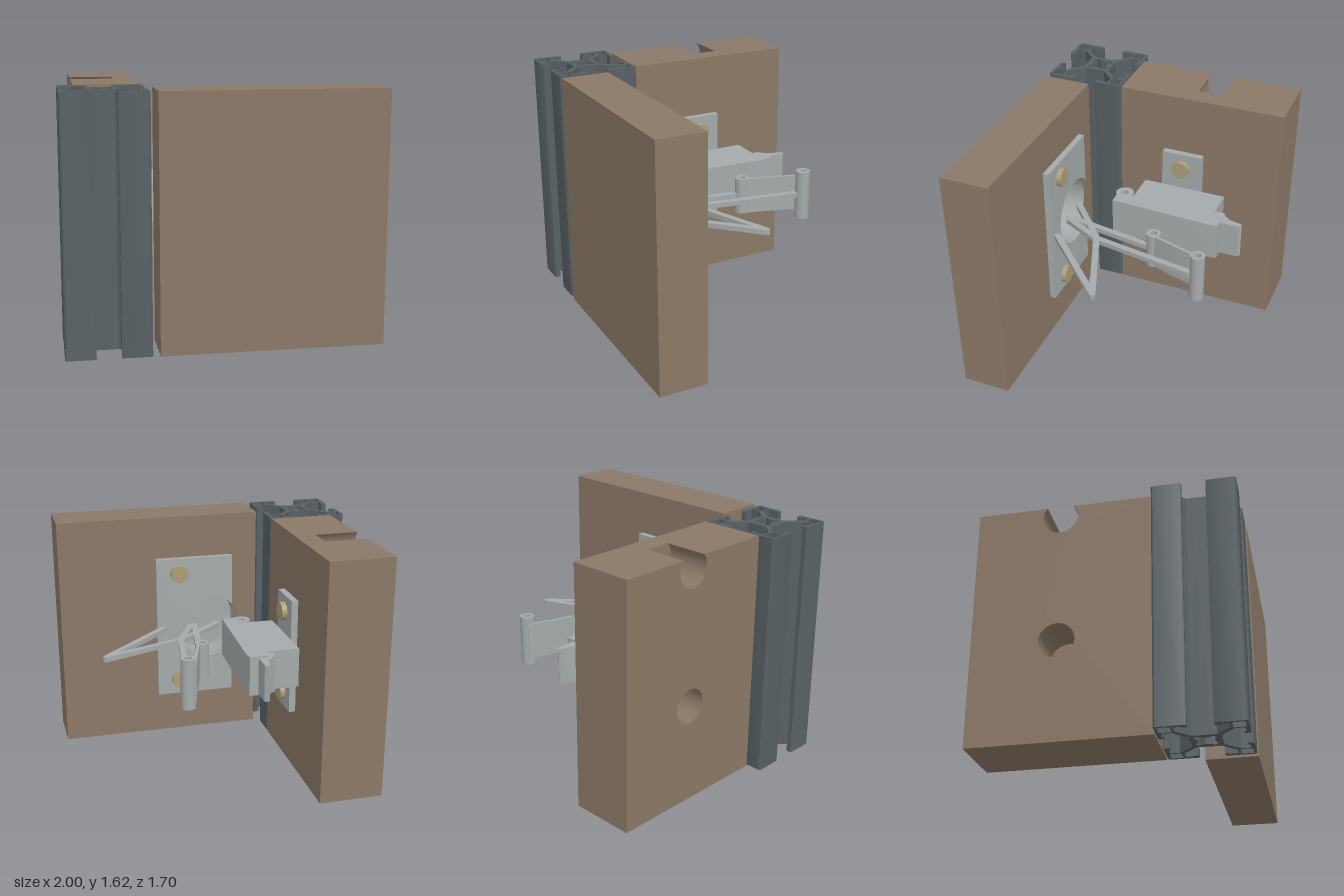
import * as THREE from 'three';
import { toCreasedNormals } from 'three/addons/utils/BufferGeometryUtils.js';

export function createModel() {
  const model = new THREE.Group();
  const mat = (name, color) => Object.assign(new THREE.MeshStandardMaterial({ color }), { name });
  const wood = mat('wood', 0x8b7866);
  const steel = mat('steel', 0xa4aaab);
  const dark = mat('dark metal', 0x586164);
  const brass = mat('brass', 0xab9e78);
  steel.side = THREE.DoubleSide;

  const H = 1.62, MID = 0.8125;
  const add = (name, geo, material) => {
    const mesh = new THREE.Mesh(geo, material);
    mesh.name = name;
    model.add(mesh);
    return mesh;
  };
  const box = (name, m, x0, x1, y0, y1, z0, z1) =>
    add(name, new THREE.BoxGeometry(x1 - x0, y1 - y0, z1 - z0)
      .translate((x0 + x1) / 2, (y0 + y1) / 2, (z0 + z1) / 2), m);
  const extrude = (shape, depth) => toCreasedNormals(
    new THREE.ExtrudeGeometry(shape, { depth, bevelEnabled: false, curveSegments: 32 }), 0.6);
  const poly = pts => new THREE.Shape(pts.map(([x, y]) => new THREE.Vector2(x, y)));
  const circle = (x, y, r) => new THREE.Path().absarc(x, y, r, 0, Math.PI * 2, false);
  // upright prism from a plan outline
  const upright = (name, m, shape, y0, y1) =>
    add(name, extrude(shape, y1 - y0).rotateX(-Math.PI / 2).translate(0, y0, 0), m);
  const plan = pts => poly(pts.map(([x, z]) => [x, -z]));

  // Door panel, bored for the hinge cup
  const cup = { x: -0.05, y: MID, r: 0.235, depth: 0.17 };
  const doorFace = poly([[-0.42, 0], [1, 0], [1, H], [-0.42, H]]);
  doorFace.holes.push(circle(cup.x, cup.y, cup.r));
  add('doorInner', extrude(doorFace, cup.depth).translate(0, 0, 0.52), wood);
  box('doorOuter', wood, -0.42, 1, 0, H, 0.52 + cup.depth, 0.845);

  // Side panel with two blind bores, the upper one breaking through the top
  const bore = { u: 0.303, r: 0.115, y: 1.545 };
  const a = Math.asin((H - bore.y) / bore.r);
  const side = new THREE.Shape();
  side.moveTo(-0.295, 0);
  side.lineTo(0.85, 0);
  side.lineTo(0.85, H);
  side.absarc(bore.u, bore.y, bore.r, a, Math.PI - a, true);
  side.lineTo(-0.295, H);
  side.holes.push(circle(bore.u, 0.66, bore.r));
  add('sidePanelBored', extrude(side, 0.29).rotateY(Math.PI / 2).translate(-0.895, 0, 0), wood);
  box('sidePanelFace', wood, -0.605, -0.465, 0, H, -0.85, 0.295);

  // Slotted post: one eighth of the profile, mirrored and turned
  const eighth = [[7, 3.5], [7, 5.4], [13.6, 12], [18, 12], [18, 8], [17.2, 8], [17.2, 5.8], [19.6, 5.8], [20, 6.4], [20, 19.2]];
  const quarter = [...eighth, ...eighth.map(([x, y]) => [y, x]).reverse()];
  const turn = ([x, y], k) => [[x, y], [-y, x], [-x, -y], [y, -x]][k];
  const quads = [0, 1, 2, 3];
  const scale = 0.2675 / 20;
  const around = pts => quads.flatMap(k => pts.map(p => turn(p, k))).map(([x, y]) => [x * scale, y * scale]);
  const profile = poly(around(quarter));
  profile.holes.push(poly(around([[3.8, 1.2], [4.7, 2.3], [5.3, 3.8], [3.8, 5.3], [2.3, 4.7], [1.2, 3.8]])));
  for (const k of quads) {
    profile.holes.push(poly([[13, 13], [18.7, 13], [18.7, 18.7], [13, 18.7]]
      .map(p => turn(p, k).map(v => v * scale))));
  }
  upright('post', dark, profile, 0, H).position.set(-0.7325, 0, 0.5725);

  // Hinge cup and its flange plate
  const flange = poly([[-0.235, 0.3], [0.32, 0.3], [0.32, 1.325], [-0.235, 1.325]]);
  const b = Math.PI - Math.acos((cup.x + 0.235) / cup.r);
  flange.absarc(cup.x, cup.y, cup.r, b, -b, true);
  add('cupFlange', extrude(flange, 0.04).translate(0, 0, 0.48), steel);
  add('cupWall', new THREE.CylinderGeometry(cup.r - 0.002, cup.r - 0.002, cup.depth, 48, 1, true)
    .rotateX(Math.PI / 2).translate(cup.x, cup.y, 0.52 + cup.depth / 2), steel);
  add('cupFloor', new THREE.CircleGeometry(cup.r, 48).rotateY(Math.PI)
    .translate(cup.x, cup.y, 0.517 + cup.depth), steel);

  // Mounting plate, body and arm
  box('mountingPlate', steel, -0.465, -0.42, 0.42, 1.21, -0.315, -0.03);
  upright('hingeBody', steel, plan([[-0.42, -0.49], [-0.195, -0.49], [-0.195, 0.095], [-0.42, 0.095]]), 0.68, 0.945);
  upright('hingeArm', steel, plan([[-0.195, -0.56], [-0.067, -0.56], [-0.06, -0.49], [-0.09, 0.21], [-0.165, 0.21], [-0.195, 0.095]]), 0.68, 0.945);
  upright('releaseLever', steel, plan([[-0.24, -0.49], [-0.24, -0.55], [-0.21, -0.57], [-0.18, -0.61], [-0.167, -0.66],
    [-0.163, -0.69], [-0.145, -0.705], [-0.125, -0.69], [-0.125, -0.56], [-0.195, -0.56], [-0.195, -0.49]]), 0.69, 0.935);

  // Hollow pivot barrels
  const barrel = (name, x, z, r, hole, y0, y1) => {
    const s = new THREE.Shape().absarc(x, -z, r, 0, Math.PI * 2, false);
    s.holes.push(circle(x, -z, hole));
    upright(name, steel, s, y0, y1);
  };
  barrel('armPivot', -0.215, 0.168, 0.062, 0.026, 0.68, 0.945);
  barrel('longPivot', 0.335, -0.56, 0.048, 0.024, 0.645, 0.98);
  barrel('shortPivot', 0.155, -0.19, 0.047, 0.024, 0.69, 0.935);

  // Links: straight bars with rounded ends, seen in plan
  const link = (name, [x0, z0], [x1, z1], w, y0, y1) => {
    const t = Math.atan2(z0 - z1, x1 - x0), q = Math.PI / 2;
    const s = new THREE.Shape();
    s.absarc(x1, -z1, w / 2, t - q, t + q, false);
    s.absarc(x0, -z0, w / 2, t + q, t + 3 * q, false);
    upright(name, steel, s, y0, y1);
  };
  const bar = (name, p, q) => link(name, p, q, 0.042, 0.797, 0.83);
  link('connectingPlate', [0.187, -0.215], [0.297, -0.58], 0.02, 0.69, 0.935);
  bar('longLinkUpper', [0.328, -0.52], [0.21, 0.2]);
  bar('longLinkLower', [0.21, 0.2], [0.075, 0.465]);
  bar('shortLink', [0.149, -0.15], [0.05, 0.475]);
  const spring = [[-0.115, 0.475], [0.2, 0.205], [0.768, -0.018], [0.283, 0.455]];
  for (let i = 0; i < 3; i++) bar('bentLink' + (i + 1), spring[i], spring[i + 1]);

  // Screws
  const screw = () => new THREE.CylinderGeometry(0.0625, 0.0625, 0.035, 32);
  for (const y of [0.41, 1.2175])
    add('doorScrew', screw().rotateX(Math.PI / 2).translate(0.157, y, 0.4625), brass);
  for (const y of [0.525, 1.1])
    add('sideScrew', screw().rotateZ(Math.PI / 2).translate(-0.4025, y, -0.17), brass);

  return model;
}
